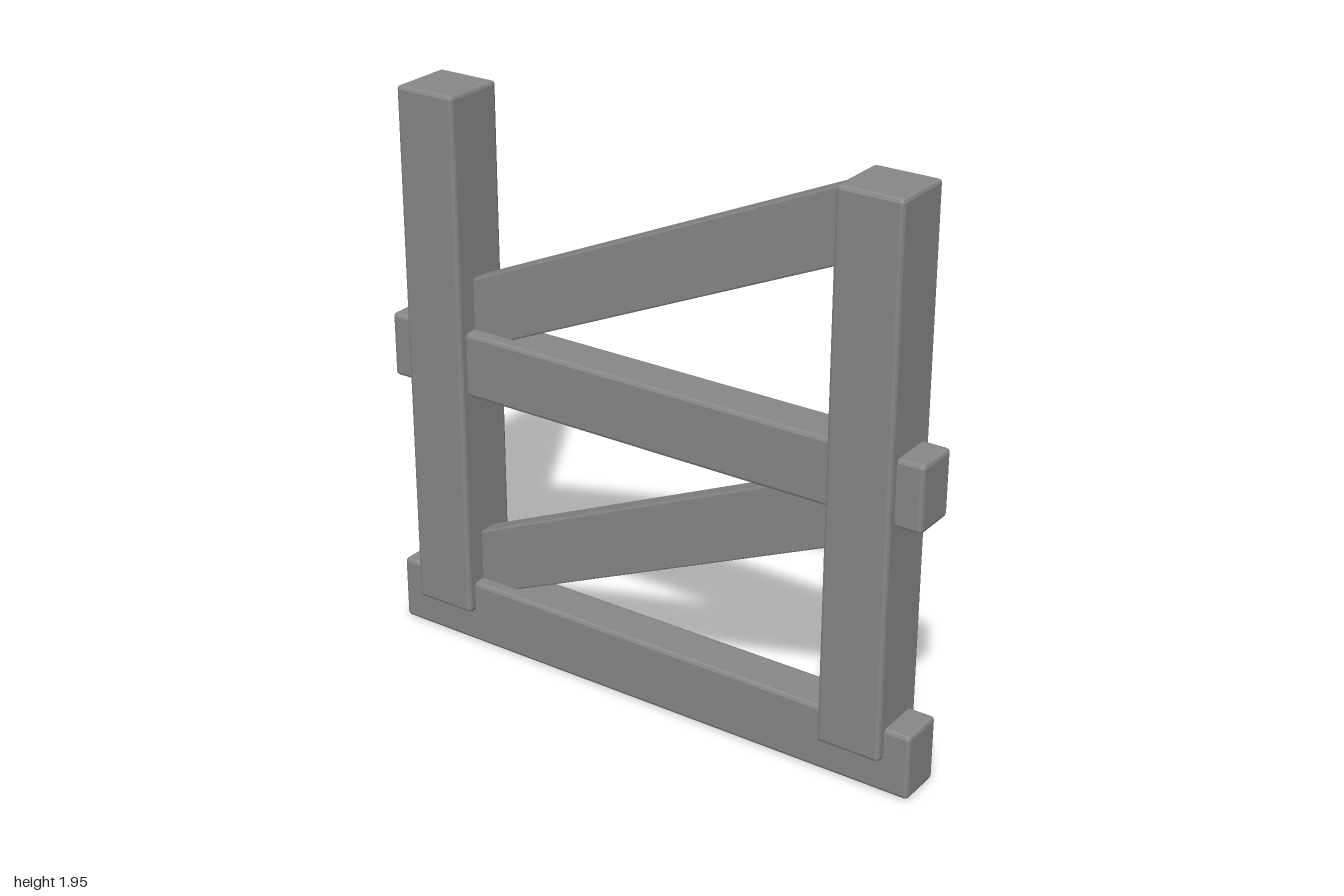
import * as THREE from 'three';
import { RoundedBoxGeometry } from 'three/addons/geometries/RoundedBoxGeometry.js';

const material = new THREE.MeshStandardMaterial({ color: 0x888888, flatShading: true });

// A timber beam with slightly eased edges, placed by its centre.
function beam(name, width, height, depth, y, z = 0, bevel = 0.012) {
  const mesh = new THREE.Mesh(new RoundedBoxGeometry(width, height, depth, 1, bevel), material);
  mesh.name = name;
  mesh.position.set(0, y, z);
  return mesh;
}

export function createModel() {
  const fence = new THREE.Group();
  fence.name = 'fenceSection';

  // Upright posts
  for (const [name, side] of [['frontPost', 1], ['backPost', -1]]) {
    fence.add(beam(name, 0.222, 1.827, 0.222, 1.0325, side * 0.8));
  }

  // Horizontal rails running through both posts
  fence.add(beam('bottomRail', 0.16, 0.225, 2, 0.1125));
  fence.add(beam('middleRail', 0.16, 0.224, 2, 1.032));

  // Thin diagonal braces, rising towards the front post
  for (const [name, y] of [['lowerBrace', 0.587], ['upperBrace', 1.502]]) {
    const brace = beam(name, 0.07, 0.224, 1.65, y, 0, 0.006);
    brace.rotation.x = -Math.atan(0.442);
    fence.add(brace);
  }

  return fence;
}
